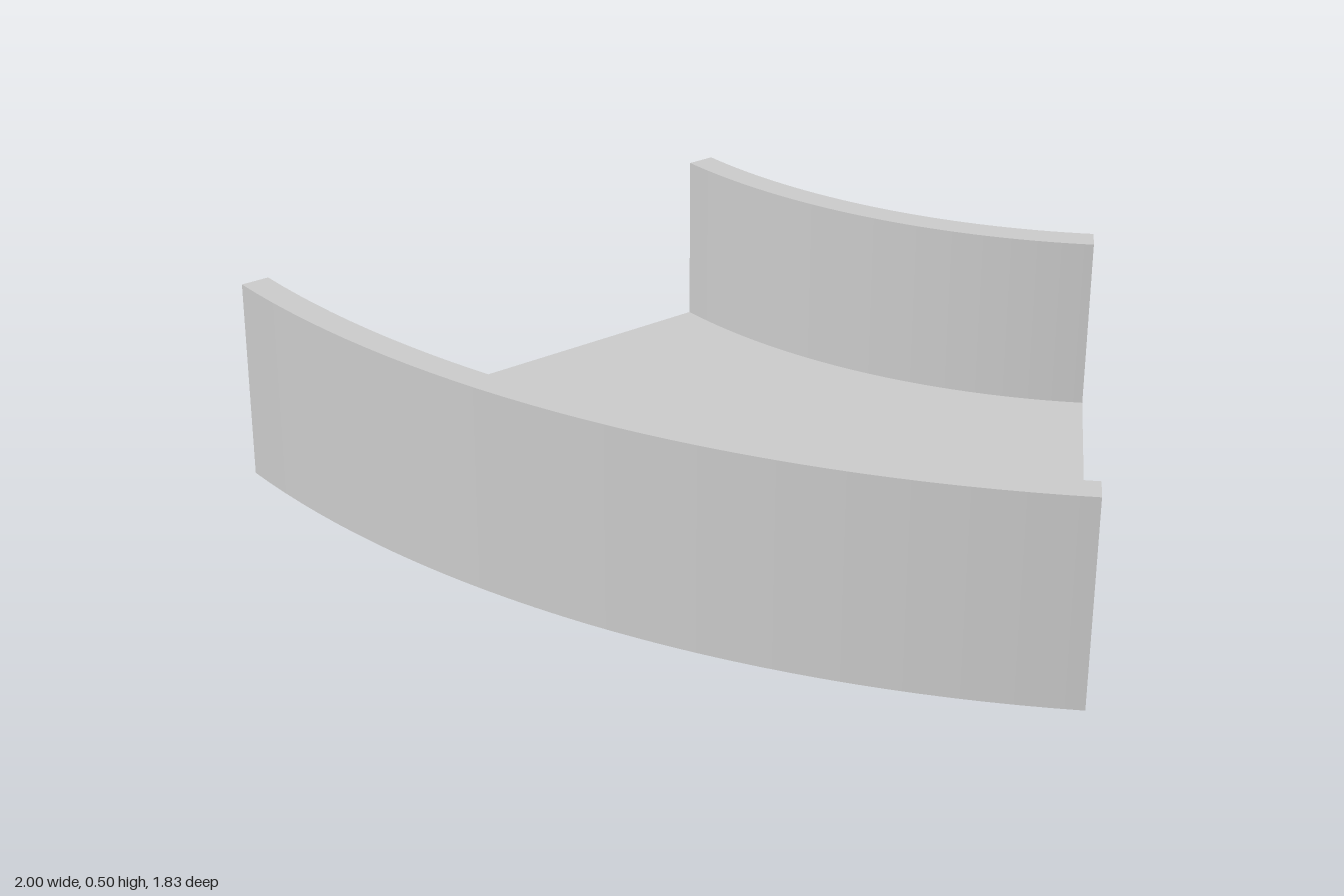
import * as THREE from 'three';
import { mergeGeometries } from 'three/addons/utils/BufferGeometryUtils.js';

const INNER = Math.SQRT2, OUTER = 2 * Math.SQRT2; // bend radii
const WALL = 0.0707, HEIGHT = 0.5;
const SWEEP = Math.PI / 4, SEGMENTS = 32;
const CENTRE_Z = 0.914 - OUTER; // bend axis lies at x = 1

// U-shaped cross-section (radius, height), counter-clockwise
const profile = [
  [INNER, 0], [OUTER, 0], [OUTER, HEIGHT], [OUTER - WALL, HEIGHT],
  [OUTER - WALL, WALL], [INNER + WALL, WALL], [INNER + WALL, HEIGHT], [INNER, HEIGHT],
].map(([r, y]) => new THREE.Vector2(r, y));

// One flat end of the channel, at the given angle
function endFace(angle, flip) {
  const g = new THREE.ShapeGeometry(new THREE.Shape(profile));
  g.rotateY(angle - Math.PI / 2);
  if (flip) {
    g.index.array.reverse();
    const n = g.attributes.normal.array;
    for (let i = 0; i < n.length; i++) n[i] *= -1;
  }
  return g;
}

export function createModel() {
  const group = new THREE.Group();
  group.name = 'curvedChannel';
  const material = new THREE.MeshStandardMaterial({ color: 0xcccccc });

  // Sweep each profile edge on its own so the corners stay sharp
  const sides = profile.map((p, i) => new THREE.LatheGeometry(
    [p, profile[(i + 1) % profile.length]], SEGMENTS, -SWEEP, SWEEP));

  const parts = {
    channelFloorAndWalls: mergeGeometries(sides),
    straightEnd: endFace(0, true),
    angledEnd: endFace(-SWEEP, false),
  };
  for (const [name, geometry] of Object.entries(parts)) {
    const mesh = new THREE.Mesh(geometry, material);
    mesh.name = name;
    mesh.position.set(1, 0, CENTRE_Z);
    group.add(mesh);
  }
  return group;
}
